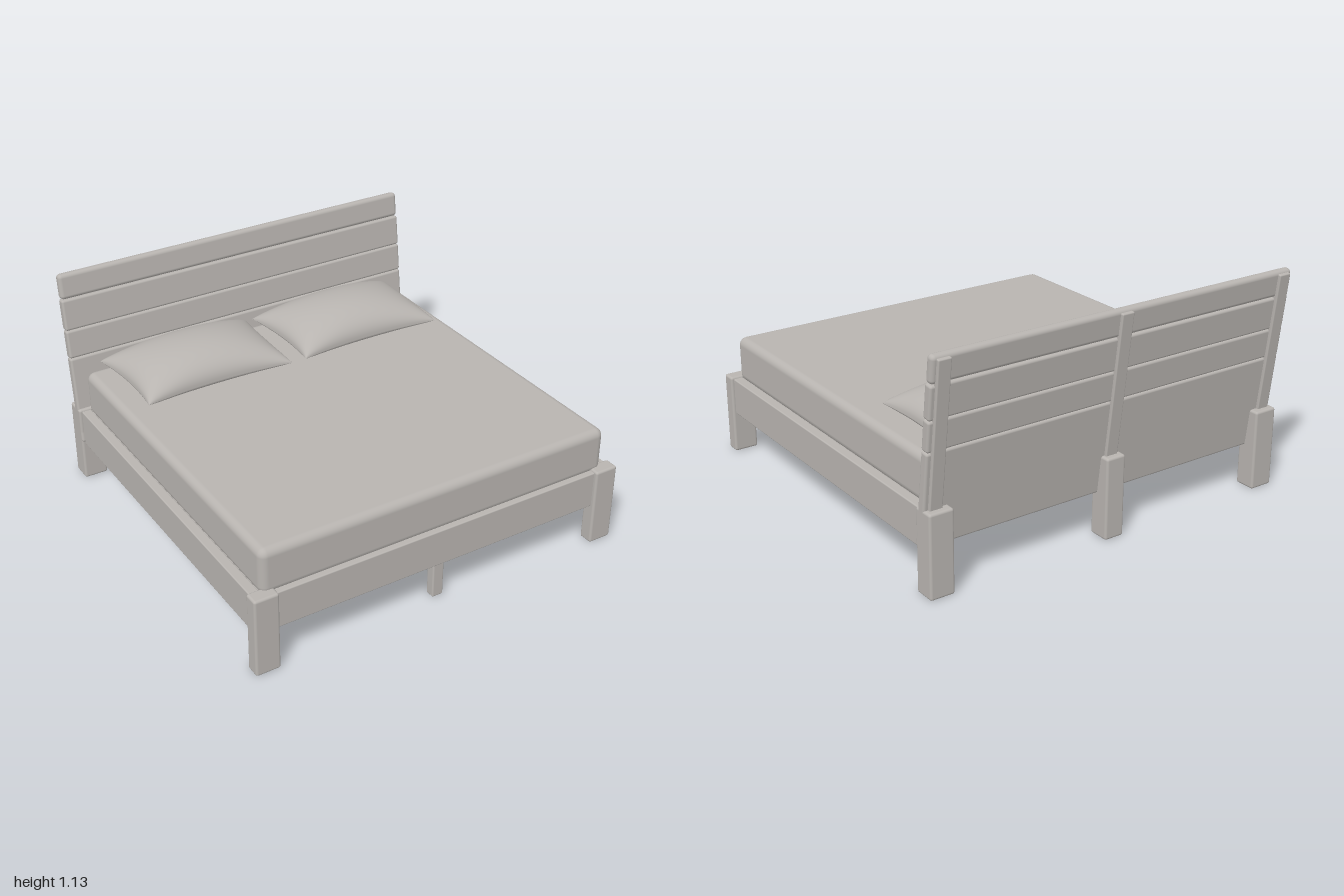
import * as THREE from 'three';
import { RoundedBoxGeometry } from 'three/addons/geometries/RoundedBoxGeometry.js';

const material = new THREE.MeshStandardMaterial({ color: 0xb8b4b0 });
material.name = 'warm grey';

// Rounded box given by its minimum and maximum along each axis
function block(parent, name, [x0, x1], [y0, y1], [z0, z1], radius = 0.012) {
  const geometry = new RoundedBoxGeometry(x1 - x0, y1 - y0, z1 - z0, 3, radius);
  const mesh = new THREE.Mesh(geometry, material);
  mesh.name = name;
  mesh.position.set((x0 + x1) / 2, (y0 + y1) / 2, (z0 + z1) / 2);
  parent.add(mesh);
  return mesh;
}

// One half of a pillow: a square grid pulled to pointed corners and puffed up or down
function pillowHalf(height, side) {
  const n = 40;
  const geometry = new THREE.PlaneGeometry(2, 2, n, n);
  geometry.rotateX(-side * Math.PI / 2);
  const p = geometry.attributes.position;
  for (let i = 0; i < p.count; i++) {
    // Bunch the grid towards the seams, where the curve is tightest
    const u = Math.sin(p.getX(i) * Math.PI / 2);
    const v = Math.sin(p.getZ(i) * Math.PI / 2);
    const puff = Math.pow(Math.max(0, (1 - u * u) * (1 - v * v)), 0.45);
    const x = u * (0.41 - 0.01 * v) * (1 - 0.06 * (1 - v * v));
    const pinch = v > 0 ? 0.13 : 0.03;
    const z = v * 0.262 * (1 - pinch * (1 - u * u));
    // Soft creases running in from the corners
    const crease = 0.005 * Math.sin(9 * (Math.abs(u) - Math.abs(v))) * u * u * v * v;
    p.setXYZ(i, x, side * (height * puff) + crease * puff, z);
  }
  geometry.computeVertexNormals();
  return geometry;
}

function pillow(name, x) {
  const group = new THREE.Group();
  group.name = name;
  for (const [part, height, side] of [['pillowTop', 0.142, 1], ['pillowUnderside', 0.05, -1]]) {
    const mesh = new THREE.Mesh(pillowHalf(height, side), material);
    mesh.name = part;
    group.add(mesh);
  }
  group.position.set(x, 0.66, -0.575);
  return group;
}

export function createModel() {
  const bed = new THREE.Group();
  bed.name = 'bed';

  // Corner legs and side rails
  for (const [side, s] of [['left', 1], ['right', -1]]) {
    const span = (a, b) => [Math.min(s * a, s * b), Math.max(s * a, s * b)];
    block(bed, side + 'FrontLeg', span(0.875, 1), [0, 0.41], [0.925, 1]);
    block(bed, side + 'BackLeg', span(0.875, 1), [0, 0.41], [-0.945, -0.835]);
    block(bed, side + 'Rail', span(0.935, 0.985), [0.21, 0.4], [-0.88, 0.96], 0.006);
  }
  block(bed, 'frontRail', [-0.93, 0.93], [0.21, 0.4], [0.93, 0.98], 0.006);

  // Centre support
  block(bed, 'centreBeam', [-0.05, 0.05], [0.215, 0.36], [-0.86, 0.94], 0.006);
  block(bed, 'centreFrontLeg', [-0.03, 0.03], [0, 0.3], [0.895, 0.945], 0.008);
  block(bed, 'centreBackLeg', [-0.055, 0.05], [0, 0.41], [-0.945, -0.835]);

  // Base and mattress
  block(bed, 'basePanel', [-0.95, 0.95], [0.34, 0.395], [-0.87, 0.95], 0.004);
  block(bed, 'mattress', [-0.94, 0.94], [0.38, 0.615], [-0.855, 0.955], 0.04);

  // Leaning headboard of four planks on three posts
  const headboard = new THREE.Group();
  headboard.name = 'headboard';
  headboard.position.set(0, 0.4, -0.85);
  headboard.rotation.x = -0.122;
  const seams = [-0.18, 0.29, 0.44, 0.605, 0.738];
  for (let i = 0; i < 4; i++) {
    block(headboard, 'plank' + (i + 1), [-1, 1], [seams[i] + 0.001, seams[i + 1] - 0.001],
      [-0.047, 0], i === 3 ? 0.02 : 0.012);
  }
  for (const x of [-0.945, 0, 0.945]) {
    block(headboard, 'post', [x - 0.033, x + 0.033], [-0.1, 0.725], [-0.062, -0.03], 0.006);
  }
  bed.add(headboard);

  bed.add(pillow('leftPillow', 0.44), pillow('rightPillow', -0.44));
  return bed;
}
